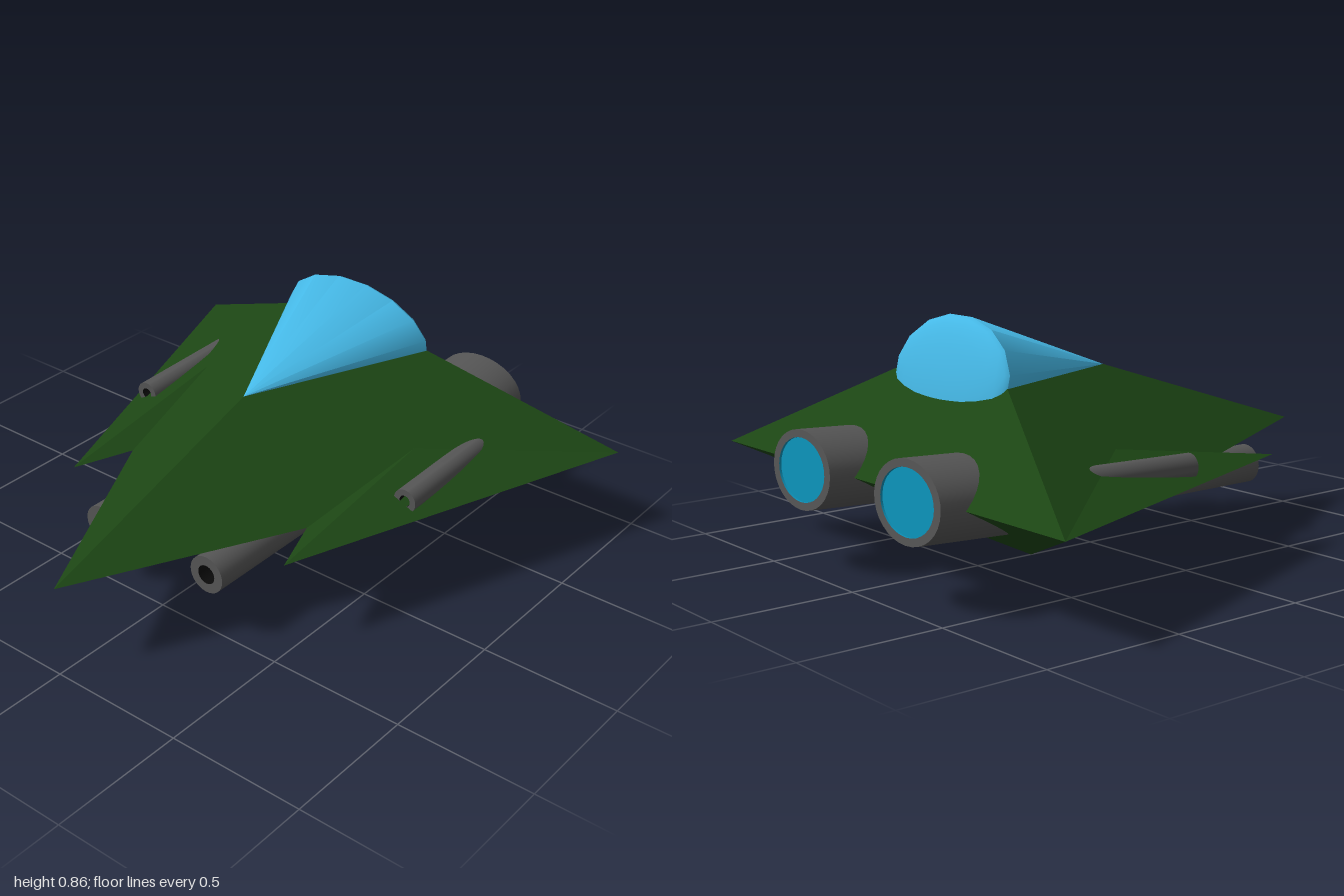
import * as THREE from 'three';
import { toCreasedNormals } from 'three/addons/utils/BufferGeometryUtils.js';
import { ConvexGeometry } from 'three/addons/geometries/ConvexGeometry.js';

const mat = (color) => new THREE.MeshStandardMaterial({ color });
const green = mat(0x1c4614), grey = mat(0x555555), black = mat(0x0a0a0a);
const glass = mat(0x45b8e6), glow = mat(0x0c93ba);

function addMesh(parent, name, geometry, material) {
  const mesh = new THREE.Mesh(geometry, material);
  mesh.name = name;
  parent.add(mesh);
  return mesh;
}

// Faceted convex solid from its corners
const solid = (corners) => new ConvexGeometry(corners.map((c) => new THREE.Vector3(...c)));

// Turned profile of [radius, height] pairs, with its axis laid along +z
function turned(profile, segments = 32) {
  const geo = new THREE.LatheGeometry(profile.map((p) => new THREE.Vector2(...p)), segments);
  return toCreasedNormals(geo.rotateX(Math.PI / 2), 0.6);
}

// Tube with its mouth at the origin, facing +z, and a coloured recess
function tube(name, radius, bore, length, depth, boreName, boreMaterial) {
  const group = new THREE.Group();
  group.name = name;
  addMesh(group, name + 'Casing', turned([[0, -length], [radius, -length], [radius, 0], [bore, 0]]), grey);
  addMesh(group, boreName, turned([[bore, 0], [bore, -depth], [0, -depth]]), boreMaterial);
  return group;
}

// Elliptical cone opening backwards, closed by a shallow leaning dome
function canopyGeometry() {
  const profile = [new THREE.Vector2(0, 0), new THREE.Vector2(0.315, 0.66)];
  for (let i = 1; i <= 6; i++) {
    const a = (i / 6) * Math.PI / 2;
    profile.push(new THREE.Vector2(i === 6 ? 0 : 0.315 * Math.cos(a), 0.66 + 0.05 * Math.sin(a)));
  }
  const geo = new THREE.LatheGeometry(profile, 16, Math.PI / 16);
  geo.rotateX(-Math.PI / 2).scale(1, 0.65, 1);
  const p = geo.attributes.position;
  for (let i = 0; i < p.count; i++) {
    const y = p.getY(i), z = p.getZ(i);
    p.setY(i, y + 0.64 - 0.03 * z);
    p.setZ(i, z + 0.06 + 0.22 * y);
  }
  return toCreasedNormals(geo, 0.8);
}

export function createModel() {
  const ship = new THREE.Group();
  ship.name = 'spaceship';

  // Main body: nose, wing tips, canopy deck and keel
  addMesh(ship, 'hull', solid([
    [0, 0.34, 1], [0.96, 0.34, -0.9], [-0.96, 0.34, -0.9],
    [0, 0.64, 0.06], [0.305, 0.66, -0.6], [-0.305, 0.66, -0.6],
    [0, 0, -0.27],
  ]), green);

  addMesh(ship, 'canopy', canopyGeometry(), glass);

  for (const s of [1, -1]) {
    const side = s > 0 ? 'left' : 'right';

    // Forward-pointing wing prong
    addMesh(ship, side + 'WingProng', solid([
      [s * 0.48, 0.34, 0.43], [s * 0.96, 0.34, -0.9], [s * 0.04, 0.34, -0.79],
      [s * 0.48, 0.452, -0.3], [s * 0.48, 0.246, -0.3],
    ]), green);

    // Large gun under the nose
    const gun = tube(side + 'LowerGun', 0.069, 0.035, 0.69, 0.1, 'lowerGunBore', black);
    gun.position.set(s * 0.24, 0.256, 0.54);
    ship.add(gun);

    // Small gun on top of the wing
    const wingGun = tube(side + 'WingGun', 0.044, 0.021, 0.46, 0.06, 'wingGunBore', black);
    wingGun.position.set(s * 0.595, 0.385, -0.08);
    wingGun.rotation.x = 0.03;
    ship.add(wingGun);

    // Oval engine facing back, tilted slightly up
    const engine = tube(side + 'Engine', 0.18, 0.145, 0.45, 0.008, 'engineGlow', glow);
    engine.scale.y = 0.75;
    engine.position.set(s * 0.31, 0.35, -0.992);
    engine.rotation.set(0.05, Math.PI, 0);
    ship.add(engine);
  }
  return ship;
}
